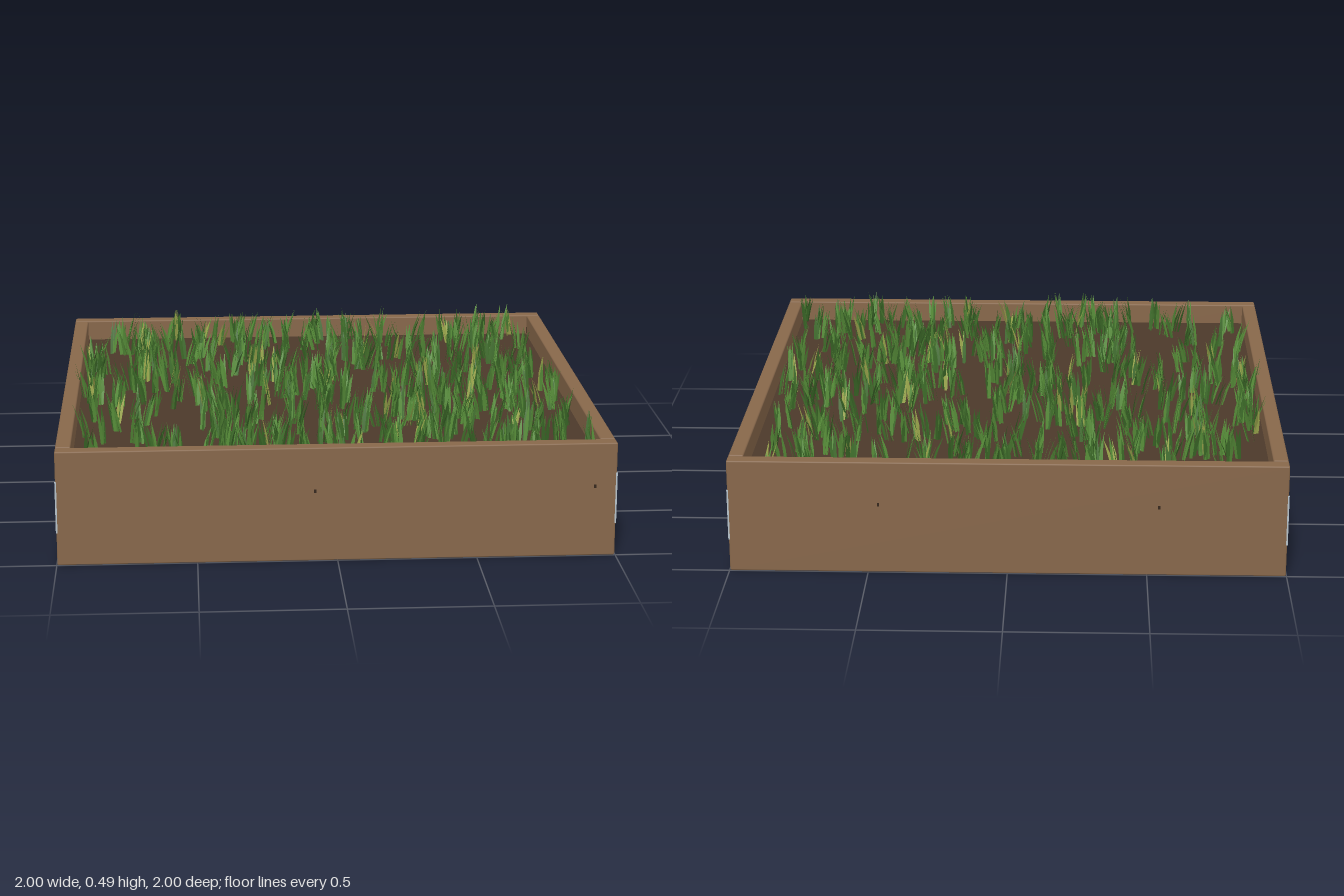
import * as THREE from 'three';
import { RoundedBoxGeometry } from 'three/addons/geometries/RoundedBoxGeometry.js';

const H = 0.42;      // plank height
const T = 0.055;     // plank thickness
const SOIL = 0.34;   // soil level

function material(name, color, side = THREE.FrontSide) {
  const m = new THREE.MeshStandardMaterial({ color, side });
  m.name = name;
  return m;
}

// Small seeded generator
function seeded(seed) {
  let s = seed;
  return () => {
    s = (s * 1664525 + 1013904223) % 4294967296;
    return s / 4294967296;
  };
}

export function createModel() {
  const model = new THREE.Group();
  model.name = 'raisedGardenBed';

  const wood = material('wood', 0x87674a);
  const baseWood = material('baseWood', 0x73573f);
  const soilMat = material('soil', 0x4c392a);
  const dark = material('darkGap', 0x35271c);
  const metal = material('metal', 0xb6c2ca);
  const greens = [
    material('darkGrass', 0x3c6a28, THREE.DoubleSide),
    material('midGrass', 0x568c38, THREE.DoubleSide),
    material('dryGrass', 0x9aa64c, THREE.DoubleSide),
  ];

  function add(name, geometry, mat, x, y, z) {
    const mesh = new THREE.Mesh(geometry, mat);
    mesh.name = name;
    mesh.position.set(x, y, z);
    model.add(mesh);
    return mesh;
  }

  // Planks: front and back run full width, the sides sit between them
  const longPlank = new RoundedBoxGeometry(1.996, H, T, 1, 0.005);
  const sidePlank = new RoundedBoxGeometry(T, H, 1.878, 1, 0.005);
  for (const s of [-1, 1]) {
    add(s > 0 ? 'frontPlank' : 'backPlank', longPlank, wood, 0, H / 2, s * (1 - T / 2));
    add(s > 0 ? 'leftPlank' : 'rightPlank', sidePlank, wood, s * (0.998 - T / 2), H / 2, 0);
  }

  // Soil filling on a wooden base
  add('soil', new THREE.BoxGeometry(1.9, SOIL - 0.03, 1.9), soilMat, 0, (SOIL + 0.03) / 2, 0);
  add('basePanel', new THREE.BoxGeometry(1.9, 0.024, 1.9), baseWood, 0, 0.018, 0);

  // Corner joints: a dark gap with a metal strip, and a strip on the outer edge
  const gap = new THREE.BoxGeometry(T - 0.006, H - 0.03, 0.008);
  const strip = new THREE.BoxGeometry(0.008, 0.19, 0.011);
  const edgeStrip = new THREE.BoxGeometry(0.006, 0.19, 0.006);
  for (const sx of [-1, 1]) {
    for (const sz of [-1, 1]) {
      add('jointGap', gap, dark, sx * (0.996 - T / 2), H / 2, sz * 0.942);
      add('jointBracket', strip, metal, sx * 0.996, 0.215, sz * 0.942);
      add('edgeBracket', edgeStrip, metal, sx * 0.997, 0.215, sz * 0.997);
    }
  }

  // Small dark nail heads, nearly flush: [x, y, z]
  const nail = new THREE.BoxGeometry(0.008, 0.012, 0.008);
  const nails = [
    [-0.08, 0.26, 0.9965], [0.92, 0.26, 0.9965],
    [0.46, 0.26, -0.9965], [-0.54, 0.26, -0.9965],
    [0.9945, 0.26, 0.08], [0.9945, 0.26, -0.92],
    [-0.9945, 0.065, -0.27], [-0.9945, 0.065, 0.74],
  ];
  for (const p of nails) add('nail', nail, dark, ...p);

  // Grass: tufts of bent, tapering blades, gathered by colour
  const rand = seeded(41);
  const blades = greens.map(() => ({ pos: [], idx: [] }));

  function addBlade(target, x, z, height, lean, width, dir, turn) {
    const base = target.pos.length / 3;
    const dx = Math.cos(dir), dz = Math.sin(dir);
    const wx = Math.cos(turn) * width / 2, wz = Math.sin(turn) * width / 2;
    for (const [t, w] of [[0, 0.8], [0.5, 1]]) {
      const cx = x + dx * lean * t, cz = z + dz * lean * t;
      target.pos.push(cx - wx * w, SOIL + height * t, cz - wz * w);
      target.pos.push(cx + wx * w, SOIL + height * t, cz + wz * w);
    }
    target.pos.push(x + dx * lean * 1.2, SOIL + height, z + dz * lean * 1.2);
    // wound so the front faces up, away from the lean
    for (const i of [0, 3, 1, 0, 2, 3, 2, 4, 3]) target.idx.push(base + i);
  }

  for (let i = 0; i < 480; i++) {
    const x = (rand() * 2 - 1) * 0.925;
    const z = (rand() * 2 - 1) * 0.925;
    const mainDir = rand() * Math.PI * 2;
    const tall = 0.125 + rand() * 0.03;
    const dry = rand() < 0.08;
    for (let b = 0; b < 5; b++) {
      const dir = mainDir + (rand() - 0.5) * 0.9;
      const pick = dry && b % 2 === 0 ? 2 : rand() < 0.5 ? 0 : 1;
      const along = (rand() - 0.5) * 0.035, across = (rand() - 0.5) * 0.012;
      addBlade(
        blades[pick],
        x + Math.cos(mainDir) * along - Math.sin(mainDir) * across,
        z + Math.sin(mainDir) * along + Math.cos(mainDir) * across,
        tall * (0.7 + rand() * 0.3),
        0.012 + rand() * 0.026,
        0.011 + rand() * 0.004,
        dir,
        dir + Math.PI / 2 + (rand() - 0.5)
      );
    }
  }

  blades.forEach(({ pos, idx }, i) => {
    const g = new THREE.BufferGeometry();
    g.setAttribute('position', new THREE.Float32BufferAttribute(pos, 3));
    g.setIndex(idx);
    g.computeVertexNormals();
    add(greens[i].name, g, greens[i], 0, 0, 0);
  });

  return model;
}
